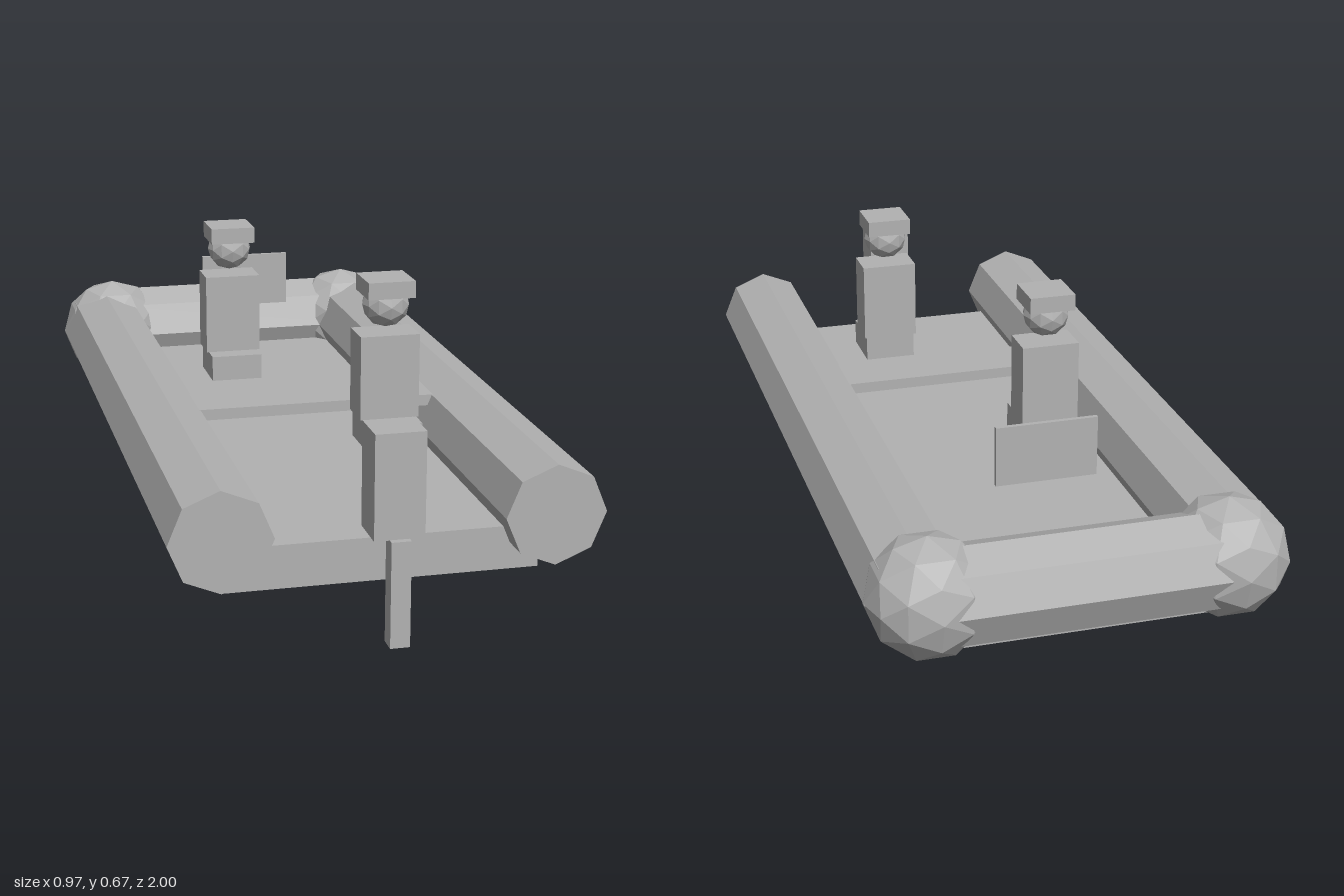
import * as THREE from 'three';

export function createModel() {
  const boat = new THREE.Group();
  boat.name = 'inflatableBoat';
  const grey = new THREE.MeshStandardMaterial({ color: 0xb2b2b2, flatShading: true });
  grey.name = 'grey';

  function add(parent, name, geometry, x, y, z) {
    const mesh = new THREE.Mesh(geometry, grey);
    mesh.name = name;
    mesh.position.set(x, y, z);
    parent.add(mesh);
    return mesh;
  }
  const box = (parent, name, w, h, d, x, y, z) =>
    add(parent, name, new THREE.BoxGeometry(w, h, d), x, y, z);

  // Eight-sided side tubes and the round bow corners
  const tubeY = 0.243, tubeR = 0.115;
  for (const side of [-1, 1]) {
    const label = side > 0 ? 'left' : 'right';
    const tube = add(boat, label + 'SideTube',
      new THREE.CylinderGeometry(tubeR, tubeR, 1.793, 8), side * 0.37, tubeY, 0.0315);
    tube.rotation.x = Math.PI / 2;
    add(boat, label + 'BowCorner', new THREE.IcosahedronGeometry(0.142, 1),
      side * 0.344, tubeY, -0.858);
  }

  // Tube across the bow
  const bow = add(boat, 'bowTube',
    new THREE.CylinderGeometry(tubeR, tubeR, 0.69, 8), 0, tubeY, -0.872);
  bow.rotation.z = Math.PI / 2;

  // Floor and cross bench
  box(boat, 'floor', 0.71, 0.1, 1.718, 0, 0.15, 0);
  box(boat, 'bench', 0.64, 0.027, 0.138, 0, 0.312, 0.194);

  // Outboard motor
  box(boat, 'motorHousing', 0.112, 0.235, 0.102, 0, 0.357, 0.934);
  box(boat, 'motorShaft', 0.044, 0.24, 0.043, 0, 0.12, 0.9785);

  // Upright panel near the bow
  box(boat, 'bowPanel', 0.24, 0.143, 0.011, 0, 0.429, -0.611);

  // Two seated crew members with flat caps
  for (const [name, x, z] of [['rearCrew', 0.119, 0.433], ['frontCrew', -0.119, -0.23]]) {
    const crew = new THREE.Group();
    crew.name = name;
    crew.position.set(x, 0, z);
    box(crew, 'legs', 0.13, 0.064, 0.14, 0, 0.31, 0.027);
    box(crew, 'torso', 0.141, 0.2, 0.094, 0, 0.442, 0);
    add(crew, 'head', new THREE.IcosahedronGeometry(0.056, 1), 0, 0.609, 0);
    box(crew, 'cap', 0.112, 0.04, 0.112, 0, 0.651, 0);
    boat.add(crew);
  }
  return boat;
}
